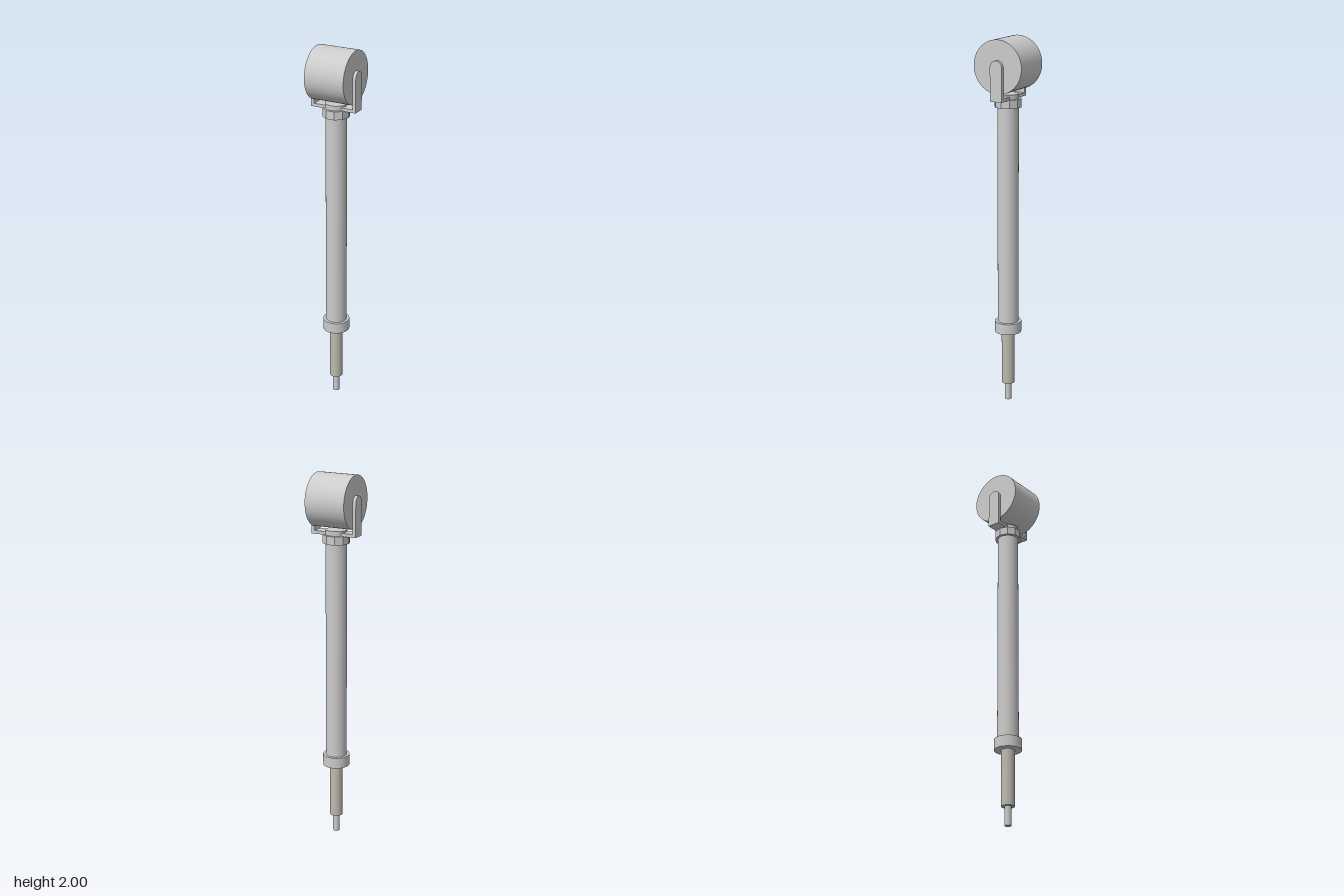
import * as THREE from 'three';

const grey = new THREE.MeshStandardMaterial({ color: 0xcccccc });
const facetGrey = new THREE.MeshStandardMaterial({ color: 0xcccccc, flatShading: true });
const warmGrey = new THREE.MeshStandardMaterial({ color: 0xbdbbae });

export function createModel() {
  const model = new THREE.Group();

  const add = (name, geometry, material = grey) => {
    const mesh = new THREE.Mesh(geometry, material);
    mesh.name = name;
    model.add(mesh);
    return mesh;
  };

  // Upright cylinder between two heights
  const post = (name, radius, y0, y1, material, sides = 48) => {
    const mesh = add(name, new THREE.CylinderGeometry(radius, radius, y1 - y0, sides), material);
    mesh.position.y = (y0 + y1) / 2;
    return mesh;
  };

  // Stem, from the pin at the foot up to the barrel
  post('footPin', 0.018, 0, 0.1);
  post('innerRod', 0.035, 0.1, 0.4, warmGrey);
  post('lowerCollar', 0.072, 0.4, 0.46);
  post('barrel', 0.056, 0.4, 1.71);

  // Faceted nut below the yoke, with corners on the x axis
  post('upperNut', 0.072, 1.64, 1.685, facetGrey, 10).rotation.y = Math.PI / 2;

  // Roller on a sideways axis
  const rollerY = 1.86;
  const roller = add('roller', new THREE.CylinderGeometry(0.14, 0.14, 0.22, 64));
  roller.rotation.z = Math.PI / 2;
  roller.position.y = rollerY;

  // Yoke: a cross strap and two round-topped arms
  const strapY = 1.683, armWidth = 0.07, armThickness = 0.017;
  const strap = add('yokeStrap', new THREE.BoxGeometry(0.222, 0.017, armWidth));
  strap.position.y = strapY + 0.0085;

  const armShape = new THREE.Shape();
  armShape.moveTo(-armWidth / 2, strapY);
  armShape.lineTo(armWidth / 2, strapY);
  armShape.lineTo(armWidth / 2, rollerY);
  armShape.absarc(0, rollerY, armWidth / 2, 0, Math.PI, false);
  armShape.closePath();
  const armGeometry = new THREE.ExtrudeGeometry(armShape, {
    depth: armThickness, bevelEnabled: false, curveSegments: 24,
  });
  for (const side of [1, -1]) {
    const arm = add(side > 0 ? 'leftYokeArm' : 'rightYokeArm', armGeometry);
    arm.rotation.y = side * Math.PI / 2;
    arm.position.x = side * 0.11;
  }

  return model;
}
